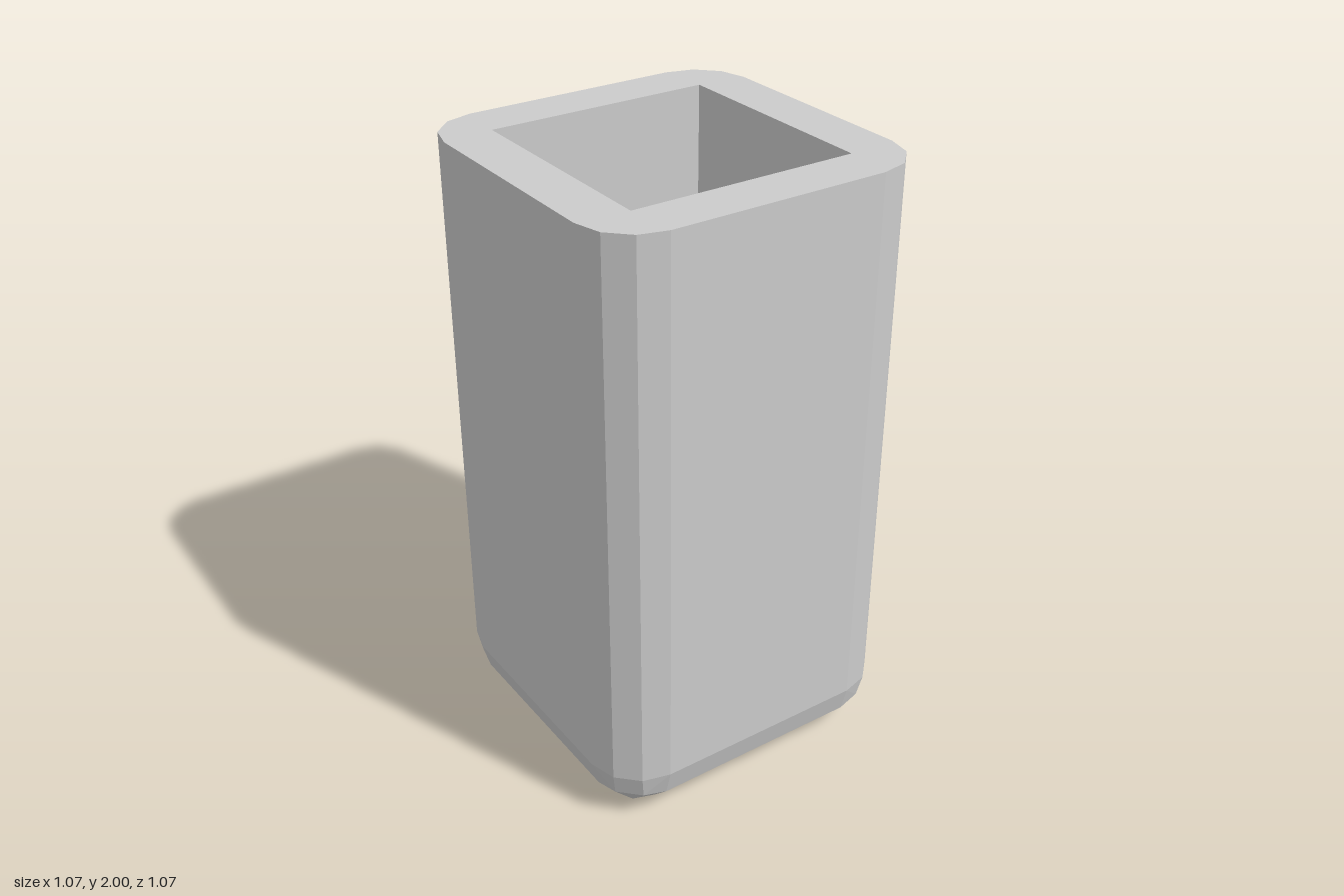
import * as THREE from 'three';
import { ConvexGeometry } from 'three/addons/geometries/ConvexGeometry.js';

const HEIGHT = 2, FLOOR = 0.16;
const CORE = 0.355, RADIUS = 0.178; // half-width of the flat sides, bevel radius
const HOLE = 0.37;                  // half-width of the square cavity
const C = Math.cos(Math.PI / 6), S = 0.5;

// Bevel directions for one corner: three axes, 30 degree steps, inner patch
const EDGE_DIRS = [[1, 0, 0], [C, 0, S], [S, 0, C], [0, 0, 1]];
const LOWER_DIRS = [
  [0, 1, 0], [C, S, 0], [S, C, 0], [0, C, S], [0, S, C],
  [0.79, 0.43, 0.43], [0.43, 0.79, 0.43], [0.43, 0.43, 0.79],
];

export function createModel() {
  const group = new THREE.Group();
  group.name = 'squareCup';
  const material = new THREE.MeshStandardMaterial({ color: 0xcccccc, flatShading: true });
  const add = (name, geometry) => {
    const mesh = new THREE.Mesh(geometry, material);
    mesh.name = name;
    group.add(mesh);
  };

  // Outer shell: bevelled upright edges and base, left open at the top
  const points = [];
  for (const sx of [-1, 1]) for (const sz of [-1, 1]) {
    const put = ([x, y, z], top) => points.push(new THREE.Vector3(
      sx * (CORE + RADIUS * x), top ? HEIGHT : RADIUS * (1 - y), sz * (CORE + RADIUS * z)));
    EDGE_DIRS.forEach(d => { put(d, true); put(d, false); });
    LOWER_DIRS.forEach(d => put(d, false));
  }
  const hull = new ConvexGeometry(points).getAttribute('position');
  const open = [];
  for (let i = 0; i < hull.count; i += 3) {
    const corners = [i, i + 1, i + 2];
    if (corners.every(k => hull.getY(k) > HEIGHT - 0.001)) continue;
    corners.forEach(k => open.push(hull.getX(k), hull.getY(k), hull.getZ(k)));
  }
  const shell = new THREE.BufferGeometry();
  shell.setAttribute('position', new THREE.Float32BufferAttribute(open, 3));
  shell.computeVertexNormals();
  add('outerShell', shell);

  // Flat rim around the square opening
  const outline = [];
  for (let q = 0; q < 4; q++) for (let s = 0; s < 4; s++) {
    const a = q * Math.PI / 2 + s * Math.PI / 6;
    const sx = q === 0 || q === 3 ? 1 : -1, sy = q < 2 ? 1 : -1;
    outline.push(new THREE.Vector2(
      sx * CORE + RADIUS * Math.cos(a), sy * CORE + RADIUS * Math.sin(a)));
  }
  const rim = new THREE.Shape(outline);
  rim.holes.push(new THREE.Path([[-1, -1], [-1, 1], [1, 1], [1, -1]]
    .map(([x, y]) => new THREE.Vector2(x * HOLE, y * HOLE))));
  add('rim', new THREE.ShapeGeometry(rim).rotateX(-Math.PI / 2).translate(0, HEIGHT, 0));

  // Cavity: box without its lid, turned to face inwards
  const cavity = new THREE.BoxGeometry(2 * HOLE, HEIGHT - FLOOR, 2 * HOLE);
  const index = Array.from(cavity.index.array);
  index.splice(12, 6);
  cavity.setIndex(index.reverse());
  cavity.clearGroups();
  cavity.computeVertexNormals();
  add('cavity', cavity.translate(0, (HEIGHT + FLOOR) / 2, 0));

  return group;
}
